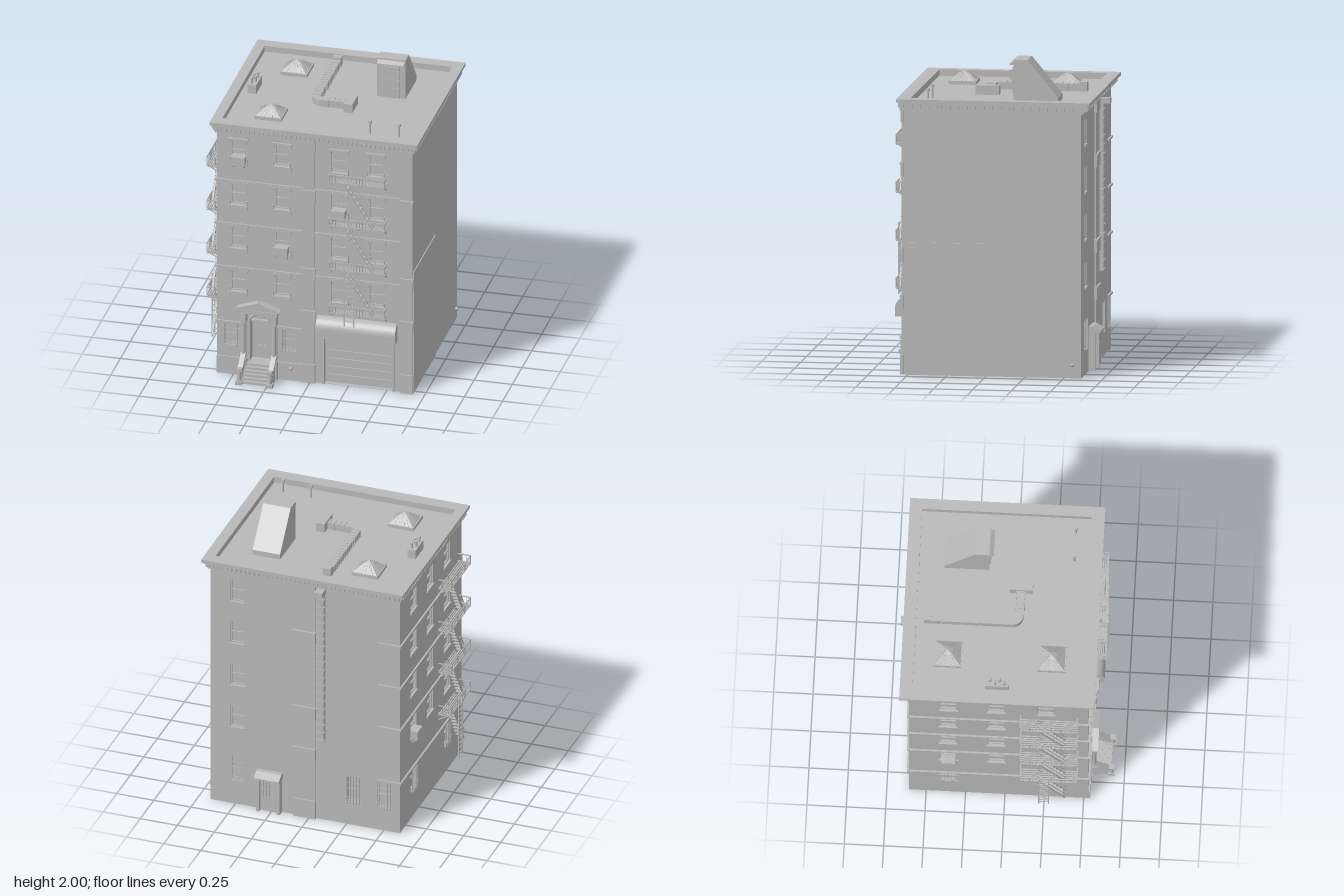
import * as THREE from 'three';

const stone = new THREE.MeshStandardMaterial({ color: 0xb8b8b8 });
stone.name = 'grey stone';
const X0 = -0.61, X1 = 0.67, Z0 = -0.61, Z1 = 0.53, TOP = 1.72, T = 0.03, ROOF = 1.73;

function add(parent, name, geo, x = 0, y = 0, z = 0) {
  const m = new THREE.Mesh(geo, stone);
  m.name = name;
  m.position.set(x, y, z);
  parent.add(m);
  return m;
}
// Box given by its limits on each axis
function span(parent, name, x0, x1, y0, y1, z0, z1) {
  return add(parent, name, new THREE.BoxGeometry(x1 - x0, y1 - y0, z1 - z0), (x0 + x1) / 2, (y0 + y1) / 2, (z0 + z1) / 2);
}
function rod(parent, name, a, b, r = 0.003) {
  const p = new THREE.Vector3(...a), q = new THREE.Vector3(...b);
  const m = add(parent, name, new THREE.BoxGeometry(r * 2, p.distanceTo(q), r * 2));
  m.position.copy(p).add(q).multiplyScalar(0.5);
  m.quaternion.setFromUnitVectors(new THREE.Vector3(0, 1, 0), q.sub(p).normalize());
  return m;
}
// Profile of (z, y) points swept across x
function sweep(parent, name, pts, x0, x1) {
  const g = new THREE.ExtrudeGeometry(new THREE.Shape(pts.map(p => new THREE.Vector2(...p))), { depth: x1 - x0, bevelEnabled: false });
  g.rotateY(-Math.PI / 2);
  return add(parent, name, g, x1, 0, 0);
}
function rect(x0, x1, y0, y1, C = THREE.Path) {
  return new C([[x0, y0], [x1, y0], [x1, y1], [x0, y1]].map(p => new THREE.Vector2(...p)));
}
// Wall in its own frame: x along it, y up, z outward
function wall(root, name, u0, u1, x, z, turn, holes) {
  const g = new THREE.Group();
  g.name = name;
  g.position.set(x, 0, z);
  g.rotation.y = turn;
  root.add(g);
  const s = rect(u0, u1, 0, TOP, THREE.Shape);
  s.holes.push(...holes);
  add(g, name + 'Surface', new THREE.ExtrudeGeometry(s, { depth: T, bevelEnabled: false, curveSegments: 16 }), 0, 0, -T);
  return g;
}
const hole = w => rect(w[0] - w[2] / 2, w[0] + w[2] / 2, w[1], w[1] + w[3]);

// Window [centre, sill height, width, height] with sash frame and optional trim or bars
function windowUnit(g, [u, y, w, h], kind) {
  const a = u - w / 2, b = u + w / 2;
  span(g, 'windowPane', a, b, y, y + h, -T, -0.02);
  for (const s of [a, b - 0.008]) span(g, 'windowFrame', s, s + 0.008, y, y + h, -0.02, -0.008);
  for (const v of [y, y + h / 2 - 0.004, y + h - 0.008]) span(g, 'windowFrame', a, b, v, v + 0.008, -0.02, -0.01);
  if (kind === 'bars') {
    for (let i = 0; i < 5; i++) {
      const x = a + w * (i + 0.5) / 5;
      rod(g, 'windowBar', [x, y - 0.01, 0.009], [x, y + h + 0.01, 0.009], 0.002);
    }
    for (const v of [0.2, 0.8]) rod(g, 'windowBar', [a - 0.01, y + h * v, 0.007], [b + 0.01, y + h * v, 0.007], 0.002);
  } else if (kind === 'trim') {
    span(g, 'windowSill', a - 0.012, b + 0.012, y - 0.013, y, 0, 0.018);
    span(g, 'windowLintel', a - 0.016, b + 0.016, y + h + 0.003, y + h + 0.018, 0, 0.015);
    for (const s of [a - 0.006, b + 0.006]) {
      span(g, 'sillBracket', s - 0.006, s + 0.006, y - 0.032, y - 0.012, 0, 0.013);
      span(g, 'lintelBracket', s - 0.006, s + 0.006, y + h - 0.016, y + h + 0.004, 0, 0.012);
      span(g, 'sillPost', s - 0.004, s + 0.004, y, y + 0.03, 0, 0.012);
    }
  } else span(g, 'windowSill', a - 0.006, b + 0.006, y - 0.01, y, 0, 0.008);
}
function airConditioner(g, u, y) {
  span(g, 'airConditioner', u - 0.045, u + 0.045, y, y + 0.06, -0.02, 0.045);
  for (const s of [-0.035, 0.035]) rod(g, 'airConditionerBracket', [u + s, y, 0.04], [u + s, y - 0.025, 0]);
}
function ladder(g, u, w, a, b) {
  const n = Math.round((a[0] - b[0]) / 0.035);
  for (const s of [-w / 2, w / 2]) rod(g, 'ladderRail', [u + s, a[0], a[1]], [u + s, b[0], b[1]], 0.004);
  for (let i = 1; i < n; i++) {
    const y = a[0] + (b[0] - a[0]) * i / n, z = a[1] + (b[1] - a[1]) * i / n;
    rod(g, 'ladderRung', [u - w / 2, y, z], [u + w / 2, y, z], 0.0025);
  }
}
function stair(g, u0, y0, u1, y1, z0, z1) {
  for (const z of [z0, z1]) {
    rod(g, 'escapeStringer', [u0, y0, z], [u1, y1, z], 0.005);
    rod(g, 'escapeHandrail', [u0 + 0.015, y0 + 0.05, z], [u1 + 0.01, y1 + 0.05, z], 0.002);
  }
  for (let i = 1; i < 9; i++) {
    const u = u0 + (u1 - u0) * i / 9, y = y0 + (y1 - y0) * i / 9;
    span(g, 'escapeTread', u - 0.01, u + 0.01, y - 0.002, y + 0.002, z0, z1);
  }
}
function fireEscape(wallGroup, u0, u1, floors, d) {
  const g = new THREE.Group();
  g.name = 'fireEscape';
  wallGroup.add(g);
  floors.forEach((y, k) => {
    for (let i = 0; i < 6; i++) span(g, 'platformSlat', u0, u1, y - 0.004, y + 0.003, d * (i + 0.2) / 6, d * (i + 0.75) / 6);
    for (const u of [u0, (u0 + u1) / 2, u1]) {
      rod(g, 'platformBeam', [u, y - 0.005, 0], [u, y - 0.005, d]);
      rod(g, 'platformBracket', [u, y - 0.04, 0], [u, y, d * 0.85]);
    }
    for (const v of [0.008, 0.06]) {
      rod(g, 'rail', [u0, y + v, d], [u1, y + v, d]);
      for (const u of [u0, u1]) rod(g, 'rail', [u, y + v, 0], [u, y + v, d]);
    }
    for (let i = 0; i <= 18; i++) {
      const u = u0 + (u1 - u0) * i / 18;
      rod(g, 'baluster', [u, y, d], [u, y + 0.06, d], 0.0018);
    }
    for (const u of [u0, u1]) for (const z of [0.33, 0.67]) rod(g, 'baluster', [u, y, d * z], [u, y + 0.06, d * z], 0.0018);
    if (k) stair(g, u0 + 0.09, y, u0 + 0.28, floors[k - 1], d * 0.25, d * 0.8);
  });
  return g;
}
function pilaster(g, u0, u1) {
  span(g, 'pilaster', u0, u1, 0, TOP, 0, 0.012);
  span(g, 'pilasterBase', u0 - 0.004, u1 + 0.004, 0, 0.13, 0, 0.02);
  for (const y of [0.42, 0.72, 1.27, 1.62]) {
    span(g, 'pilasterBand', u0 - 0.004, u1 + 0.004, y, y + 0.075, 0, 0.018);
    span(g, 'pilasterCap', u0 - 0.007, u1 + 0.007, y + 0.075, y + 0.088, 0, 0.024);
  }
}

function buildFront(root) {
  const rows = [0.585, 0.89, 1.195, 1.5];
  const trim = rows.flatMap(y => [-0.47, -0.185, 0.19, 0.43].map(u => [u, y, 0.1, 0.145]));
  const barred = [[-0.515, 0.2, 0.1, 0.15], [-0.14, 0.2, 0.1, 0.15]];
  const door = new THREE.Path();
  door.moveTo(-0.395, 0.1).lineTo(-0.265, 0.1).lineTo(-0.265, 0.37).absarc(-0.33, 0.37, 0.065, 0, Math.PI, false).lineTo(-0.395, 0.1);
  const g = wall(root, 'frontWall', X0, X1, 0, Z1, 0, [...trim.map(hole), ...barred.map(hole), door, rect(0.085, 0.545, 0.002, 0.33)]);
  trim.forEach(w => windowUnit(g, w, 'trim'));
  barred.forEach(w => windowUnit(g, w, 'bars'));
  pilaster(g, -0.05, 0.03);
  pilaster(g, 0.595, 0.67);
  for (const y of [0.75, 1.055, 1.36]) {
    span(g, 'stringCourse', X0 - 0.008, -0.05, y - 0.006, y + 0.007, 0, 0.012);
    span(g, 'stringCourse', 0.03, 0.595, y - 0.006, y + 0.007, 0, 0.012);
  }
  for (const [a, b] of [[X0, -0.44], [-0.22, -0.05]]) {
    span(g, 'plinth', a, b, 0, 0.12, 0, 0.012);
    span(g, 'groundCourse', a, b, 0.355, 0.37, 0, 0.012);
  }
  // Entrance: deep doorway, columns, arch and pediment
  span(g, 'door', -0.395, -0.265, 0.1, 0.44, -0.075, -0.065);
  for (const x of [-0.4, -0.265]) span(g, 'doorJamb', x, x + 0.005, 0.1, 0.37, -0.07, -T);
  span(g, 'doorFloor', -0.395, -0.265, 0.09, 0.1, -0.07, 0.01);
  span(g, 'doorHead', -0.395, -0.265, 0.36, 0.372, -0.065, -0.045);
  for (let i = 0; i < 6; i++) rod(g, 'doorBar', [-0.38 + i * 0.02, 0.11, -0.06], [-0.38 + i * 0.02, 0.36, -0.06], 0.002);
  span(g, 'doorPanel', -0.36, -0.3, 0.15, 0.19, -0.065, -0.055);
  add(g, 'doorArch', new THREE.TorusGeometry(0.07, 0.009, 6, 20, Math.PI), -0.33, 0.37, 0.004);
  for (const x of [-0.43, -0.23]) {
    span(g, 'columnBase', x - 0.02, x + 0.02, 0, 0.13, 0, 0.05);
    add(g, 'column', new THREE.CylinderGeometry(0.012, 0.014, 0.26, 16), x, 0.26, 0.028);
    span(g, 'columnBacking', x - 0.014, x + 0.014, 0.13, 0.45, 0, 0.015);
    span(g, 'columnCapital', x - 0.019, x + 0.019, 0.385, 0.45, 0, 0.048);
  }
  span(g, 'entablature', -0.455, -0.205, 0.45, 0.475, 0, 0.045);
  const gable = new THREE.Shape([[-0.465, 0.475], [-0.195, 0.475], [-0.195, 0.487], [-0.33, 0.53], [-0.465, 0.487]].map(p => new THREE.Vector2(...p)));
  add(g, 'pediment', new THREE.ExtrudeGeometry(gable, { depth: 0.04, bevelEnabled: false }));
  for (const s of [-1, 1]) rod(g, 'pedimentMoulding', [-0.33 + s * 0.14, 0.484, 0.03], [-0.33, 0.53, 0.03], 0.006).scale.z = 4;
  // Stoop
  for (let i = 0; i < 6; i++) span(g, 'step', -0.42, -0.24, i ? 0.1 - (i + 1) * 0.0165 : 0.08, 0.1 - i * 0.0165, 0, 0.035 + i * 0.02);
  for (const x of [-0.43, -0.23]) {
    sweep(g, 'stoopSide', [[0, 0], [0.125, 0], [0.125, 0.075], [0.03, 0.165], [0, 0.165]], x - 0.012, x + 0.012);
    rod(g, 'stoopCoping', [x, 0.168, 0.025], [x, 0.075, 0.13], 0.008).scale.x = 2;
    span(g, 'newelBase', x - 0.021, x + 0.021, 0, 0.025, 0.115, 0.16);
    add(g, 'newelPost', new THREE.CylinderGeometry(0.011, 0.014, 0.075, 12), x, 0.06, 0.138);
    span(g, 'newelCap', x - 0.017, x + 0.017, 0.095, 0.11, 0.121, 0.155);
  }
  // Garage door, frame and rounded shutter housing
  span(g, 'garageDoor', 0.085, 0.545, 0.002, 0.33, -0.04, -T);
  for (let i = 0; i < 5; i++) span(g, 'garageSlat', 0.1, 0.53, 0.012 + i * 0.057, 0.06 + i * 0.057, -T, -0.022);
  span(g, 'garageTrack', 0.09, 0.54, 0.28, 0.325, -T, -0.008);
  for (const x of [0.08, 0.537]) span(g, 'garageFrame', x, x + 0.013, 0, 0.33, -0.02, 0.01);
  span(g, 'garageLintel', 0.075, 0.555, 0.32, 0.34, -0.01, 0.012);
  const hood = [[0, 0.355], [0.068, 0.355], [0.068, 0.41]];
  for (let i = 1; i <= 8; i++) hood.push([0.068 * Math.cos(i * Math.PI / 16), 0.41 + 0.07 * Math.sin(i * Math.PI / 16)]);
  sweep(g, 'shutterHousing', hood, 0.05, 0.57);
  add(g, 'wallKnob', new THREE.SphereGeometry(0.012, 12, 8), -0.125, 0.085, 0.014);
  airConditioner(g, -0.465, 1.485);
  airConditioner(g, -0.185, 0.878);
  airConditioner(g, 0.19, 1.183);
  const f = fireEscape(g, 0.14, 0.5, [0.53, 0.838, 1.145, 1.452], 0.072);
  ladder(f, 0.275, 0.062, [0.92, 0.082], [0.46, 0.082]);
}

function buildLeft(root) {
  const wins = [0.585, 0.89, 1.195, 1.5].flatMap(y => [-0.36, -0.055, 0.26].map(u => [u, y, 0.11, 0.145]));
  const low = [-0.36, 0.26].map(u => [u, 0.19, 0.11, 0.16]);
  const g = wall(root, 'leftWall', Z0, Z1, X0, 0, -Math.PI / 2, [...wins, ...low].map(hole));
  wins.forEach(w => windowUnit(g, w));
  low.forEach(w => windowUnit(g, w, 'bars'));
  for (const y of [0.36, 0.75, 1.055, 1.36]) span(g, 'stringCourse', Z0 - 0.008, Z1 + 0.008, y - 0.006, y + 0.007, 0, 0.012);
  airConditioner(g, -0.36, 0.575);
  const f = fireEscape(g, 0.1, 0.46, [0.492, 0.8, 1.105, 1.41], 0.085);
  stair(f, 0.19, 0.492, 0.38, 0.18, 0.02, 0.068);
  ladder(f, 0.25, 0.062, [0.565, 0.094], [0.12, 0.094]);
}

function buildBack(root) {
  const wins = [0.56, 0.865, 1.17, 1.475].map(y => [-0.485, y, 0.095, 0.155]);
  const low = [[-0.485, 0.165, 0.1, 0.18], [0.3, 0.165, 0.1, 0.18], [0.51, 0.165, 0.1, 0.18]];
  const g = wall(root, 'backWall', -X1, -X0, 0, Z0, Math.PI, [...wins, ...low].map(hole));
  wins.forEach(w => windowUnit(g, w));
  low.forEach(w => windowUnit(g, w, 'bars'));
  pilaster(g, -0.1, 0.04);
  for (const y of [0.36, 0.75, 1.055, 1.36]) span(g, 'stringCourse', 0.46, 0.618, y - 0.006, y + 0.007, 0, 0.012);
  // Service door with a sloped hood
  span(g, 'serviceDoor', -0.325, -0.205, 0, 0.24, 0, 0.02);
  for (const x of [-0.345, -0.205]) span(g, 'serviceDoorFrame', x, x + 0.02, 0, 0.26, 0, 0.045);
  for (let i = 0; i < 5; i++) rod(g, 'serviceDoorBar', [-0.305 + i * 0.02, 0.09, 0.026], [-0.305 + i * 0.02, 0.23, 0.026], 0.002);
  for (const y of [0.1, 0.16, 0.22]) rod(g, 'serviceDoorBar', [-0.325, y, 0.024], [-0.205, y, 0.024], 0.002);
  sweep(g, 'serviceDoorHood', [[0, 0.245], [0.078, 0.245], [0.078, 0.257], [0.03, 0.285], [0, 0.285]], -0.35, -0.18);
  // Vertical duct
  span(g, 'wallDuct', 0.062, 0.108, 0.58, 1.67, 0, 0.035);
  span(g, 'wallDuctHead', 0.058, 0.112, 1.655, 1.69, 0, 0.078);
  for (let i = 0; i < 19; i++) span(g, 'ductFlange', 0.057, 0.113, 0.59 + i * 0.057, 0.598 + i * 0.057, 0, 0.04);
}

function buildRight(root) {
  const g = wall(root, 'rightWall', -Z1, -Z0, X1, 0, Math.PI / 2, []);
  span(g, 'wallPanel', -0.52, 0.04, 0, 0.85, 0, 0.006);
  add(g, 'wallKnob', new THREE.SphereGeometry(0.012, 12, 8), 0.555, 0.085, 0.012);
}

function buildCornice(root) {
  for (const [y0, y1, o] of [[1.69, 1.705, 0.012], [1.705, 1.735, 0.02], [1.735, 1.75, 0.03], [1.75, 1.77, 0.04]]) {
    const s = rect(X0 - o, X1 + o, -Z1 - o, -Z0 + o * 1.5, THREE.Shape);
    s.holes.push(rect(-0.585, 0.64, -0.485, 0.59));
    const geo = new THREE.ExtrudeGeometry(s, { depth: y1 - y0, bevelEnabled: false });
    add(root, 'cornice', geo.rotateX(-Math.PI / 2), 0, y0, 0);
  }
  for (let i = 0; i <= 42; i++) {
    const x = X0 + (X1 - X0) * i / 42, z = Z0 + (Z1 - Z0) * i / 42;
    for (const e of [Z1 + 0.025, Z0 - 0.033]) span(root, 'dentil', x - 0.007, x + 0.007, 1.712, 1.735, e - 0.008, e + 0.008);
    for (const e of [X0 - 0.023, X1 + 0.023]) span(root, 'dentil', e - 0.008, e + 0.008, 1.712, 1.735, z - 0.007, z + 0.007);
  }
}

function buildRoof(root) {
  span(root, 'roofDeck', -0.6, 0.66, ROOF - 0.02, ROOF, -0.6, 0.5);
  // Skylights
  for (const z of [-0.375, 0.285]) {
    span(root, 'skylightCurb', -0.405, -0.23, ROOF, 1.752, z - 0.088, z + 0.088);
    const geo = new THREE.CylinderGeometry(0.035, 0.115, 0.045, 4).toNonIndexed().rotateY(Math.PI / 4);
    geo.computeVertexNormals();
    add(root, 'skylight', geo, -0.3175, 1.7745, z);
    const cap = new THREE.ConeGeometry(0.035, 0.014, 4).toNonIndexed().rotateY(Math.PI / 4);
    cap.computeVertexNormals();
    add(root, 'skylightCap', cap, -0.3175, 1.804, z);
    for (let i = 0; i < 4; i++) for (const t of [-0.05, -0.025, 0, 0.025, 0.05]) {
      const c = Math.cos(i * Math.PI / 2), s = Math.sin(i * Math.PI / 2), k = t * 0.32;
      rod(root, 'skylightRib', [-0.3175 + 0.081 * c - t * s, 1.753, z + 0.081 * s + t * c], [-0.3175 + 0.025 * c - k * s, 1.798, z + 0.025 * s + k * c], 0.002);
    }
  }
  // Roof access with barred door and hood
  sweep(root, 'roofAccess', [[-0.43, ROOF], [-0.145, ROOF], [-0.145, 2], [-0.235, 2], [-0.43, 1.765]], 0.265, 0.45);
  sweep(root, 'roofAccessHood', [[-0.145, 1.965], [-0.117, 1.965], [-0.117, 1.973], [-0.145, 1.99]], 0.27, 0.445);
  span(root, 'roofDoor', 0.305, 0.41, ROOF, 1.95, -0.145, -0.137);
  for (let i = 0; i < 5; i++) rod(root, 'roofDoorBar', [0.317 + i * 0.02, 1.78, -0.133], [0.317 + i * 0.02, 1.945, -0.133], 0.002);
  for (const y of [1.8, 1.86, 1.92]) rod(root, 'roofDoorBar', [0.3, y, -0.133], [0.415, y, -0.133], 0.002);
  // Bent duct
  const d = new THREE.Shape();
  d.moveTo(-0.113, 0.52).lineTo(-0.113, -0.02).absarc(-0.043, -0.02, 0.07, Math.PI, Math.PI * 1.5, false);
  d.lineTo(0.13, -0.09).lineTo(0.13, -0.04).lineTo(-0.043, -0.04).absarc(-0.043, -0.02, 0.02, Math.PI * 1.5, Math.PI, true).lineTo(-0.063, 0.52);
  add(root, 'roofDuct', new THREE.ExtrudeGeometry(d, { depth: 0.045, bevelEnabled: false, curveSegments: 10 }).rotateX(-Math.PI / 2), 0, ROOF, 0);
  span(root, 'roofDuctInlet', -0.115, -0.061, ROOF, 1.79, -0.54, -0.495);
  span(root, 'roofDuctOutlet', 0.118, 0.175, ROOF, 1.79, -0.01, 0.14);
  for (let i = 0; i < 14; i++) span(root, 'roofDuctFlange', -0.117, -0.059, ROOF, 1.779, -0.455 + i * 0.036, -0.449 + i * 0.036);
  for (const x of [0, 0.035, 0.07, 0.105]) span(root, 'roofDuctFlange', x, x + 0.006, ROOF, 1.779, 0.036, 0.094);
  // Chimney with pots, and vent pipes
  span(root, 'chimney', -0.54, -0.485, ROOF, 1.79, -0.13, 0.02);
  for (const [x, z] of [[-0.503, -0.1], [-0.522, -0.07], [-0.503, -0.04], [-0.522, -0.01]]) {
    add(root, 'chimneyPot', new THREE.CylinderGeometry(0.007, 0.009, 0.035, 12), x, 1.805, z);
    add(root, 'chimneyPotCap', new THREE.SphereGeometry(0.01, 12, 8), x, 1.823, z);
  }
  for (const x of [0.355, 0.545]) {
    add(root, 'ventPipe', new THREE.CylinderGeometry(0.007, 0.007, 0.08, 12), x, 1.77, 0.39);
    add(root, 'ventPipeCap', new THREE.CylinderGeometry(0.011, 0.013, 0.018, 12), x, 1.811, 0.39);
  }
}

export function createModel() {
  const root = new THREE.Group();
  root.name = 'apartmentBuilding';
  for (const build of [buildFront, buildLeft, buildBack, buildRight, buildCornice, buildRoof]) build(root);
  return root;
}
